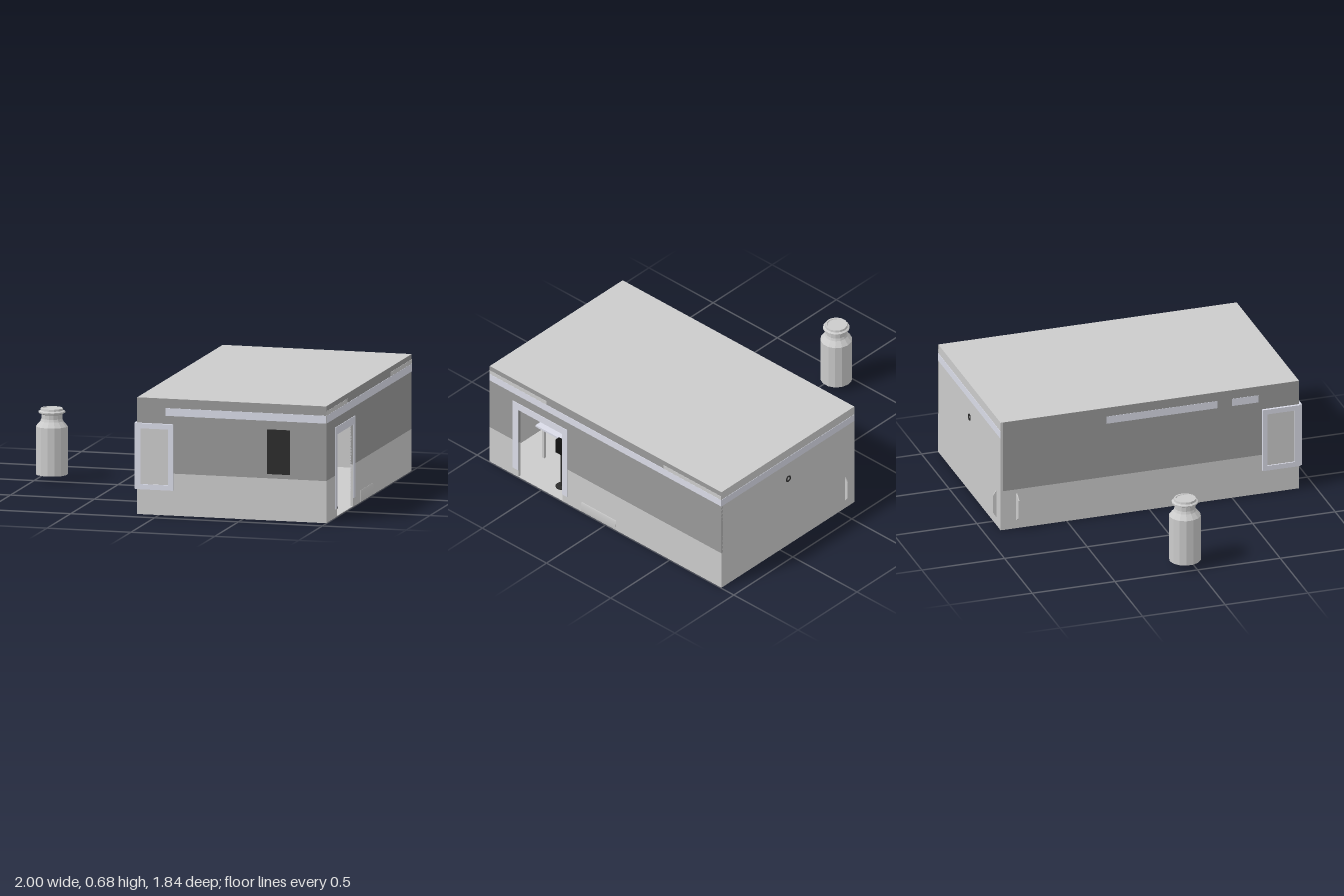
import * as THREE from 'three';

const mat = (color, extra = {}) => new THREE.MeshStandardMaterial({ color, ...extra });
const GREY = mat(0xcccccc);
const DARK = mat(0x999999);
const TRIM = mat(0xdadce8);
const BLACK = mat(0x2c2c2c);
const FACETED = mat(0xcccccc, { flatShading: true });

// Building limits
const X0 = -0.13, X1 = 0.996, Z0 = -0.9, Z1 = 0.905, H = 0.68, SPLIT = 0.245, T = 0.015;

export function createModel() {
  const root = new THREE.Group();

  const add = (name, geometry, material, parent = root) => {
    const mesh = new THREE.Mesh(geometry, material);
    mesh.name = name;
    parent.add(mesh);
    return mesh;
  };
  // Box given by its minimum and maximum corners
  const box = (name, [ax, ay, az], [bx, by, bz], material = GREY, parent = root) => {
    const mesh = add(name, new THREE.BoxGeometry(bx - ax, by - ay, bz - az), material, parent);
    mesh.position.set((ax + bx) / 2, (ay + by) / 2, (az + bz) / 2);
    return mesh;
  };

  // Hollow shell: floor, roof and two-tone walls
  box('floor', [X0, 0, Z0], [X1, 0.004, Z1]);
  box('roof', [X0, H - T, Z0], [X1, H, Z1]);
  box('backWall', [X0, 0, Z0], [X1, H - T, Z0 + T]);
  for (const [tone, y0, y1, material] of [['lower', 0, SPLIT, GREY], ['upper', SPLIT, H - 0.0005, DARK]]) {
    box(tone + 'FrontWall', [X0, y0, Z1 - T], [X1, y1, Z1 + 0.0005], material);
    box(tone + 'LeftSideWall', [X0 - 0.0005, y0, Z0 + T], [X0 + T, y1, Z1 - T], material);
    // The doorway divides this wall
    box(tone + 'DoorWallRear', [X1 - T, y0, Z0], [X1 + 0.0005, y1, 0.34], material);
    box(tone + 'DoorWallFront', [X1 - T, y0, 0.68], [X1 + 0.0005, y1, Z1], material);
  }
  box('doorLintel', [X1 - T, 0.48, 0.34], [X1 + 0.0005, H - 0.0005, 0.68], DARK);

  // Door frame
  const frame = new THREE.Group();
  frame.name = 'doorFrame';
  root.add(frame);
  for (const [z0, z1] of [[0.3, 0.34], [0.68, 0.725]])
    box('doorPost', [X1 - T, 0.05, z0], [1, 0.48, z1], TRIM, frame);
  box('doorHeader', [X1 - T, 0.48, 0.3], [1, 0.525, 0.725], TRIM, frame);

  // Trim bands around the top
  box('frontBand', [0.04, 0.58, Z1], [X1, 0.625, Z1 + 0.003], TRIM);
  box('doorSideBand', [X1, 0.58, Z0], [X1 + 0.003, 0.625, Z1], TRIM);
  box('backBand', [X0, 0.58, Z0 - 0.002], [X1, 0.625, Z0], TRIM);
  for (const [z0, z1] of [[0.46, Z1], [Z0, -0.45]])
    box('upperBand', [X1, 0.625, z0], [X1 + 0.002, 0.65, z1], GREY);
  for (const [z0, z1] of [[-0.26, 0.41], [0.5, 0.66]])
    box('leftBand', [X0 - 0.002, 0.58, z0], [X0, 0.625, z1], TRIM);

  // Front window
  box('frontWindow', [0.645, 0.27, Z1], [0.78, 0.53, Z1 + 0.003], BLACK);

  // Framed panels that meet at the front corner
  const panel = (name, w, h) => {
    const g = new THREE.Group();
    g.name = name;
    const b = 0.03;
    const shape = new THREE.Shape([[-w, -h], [w, -h], [w, h], [-w, h]]
      .map(([x, y]) => new THREE.Vector2(x / 2, y / 2)));
    shape.holes.push(new THREE.Path([[-1, -1], [-1, 1], [1, 1], [1, -1]]
      .map(([x, y]) => new THREE.Vector2(x * (w / 2 - b), y * (h / 2 - b)))));
    add('panelFrame', new THREE.ExtrudeGeometry(shape, { depth: 0.016, bevelEnabled: false }), TRIM, g);
    box('panelBoard', [-w / 2 + b, -h / 2 + b, 0], [w / 2 - b, h / 2 - b, 0.008], GREY, g);
    root.add(g);
    return g;
  };
  panel('frontPanel', 0.225, 0.385).position.set(-0.025, 0.34, Z1);
  const side = panel('leftPanel', 0.225, 0.385);
  side.rotation.y = -Math.PI / 2;
  side.position.set(X0, 0.34, 0.793);

  // Thin tapered fins near the back corner
  const fin = (name, depth) => {
    const shape = new THREE.Shape([[0, 0.05], [depth, 0.08], [depth, 0.19], [0, 0.22]]
      .map(([x, y]) => new THREE.Vector2(x, y)));
    return add(name, new THREE.ExtrudeGeometry(shape, { depth: 0.006, bevelEnabled: false }), GREY);
  };
  const leftFin = fin('leftFin', 0.045);
  leftFin.rotation.y = Math.PI;
  leftFin.position.set(X0, 0, -0.8);
  const backFin = fin('backFin', 0.02);
  backFin.rotation.y = Math.PI / 2;
  backFin.position.set(-0.055, 0, Z0);

  // Small round fitting on the back wall
  const ring = add('backFitting', new THREE.TorusGeometry(0.016, 0.005, 6, 14), BLACK);
  ring.position.set(0.43, 0.47, Z0);

  // Shallow rounded kerb beside the door
  const kerb = add('kerb', new THREE.CylinderGeometry(0.035, 0.035, 0.27, 20), GREY);
  kerb.rotation.x = Math.PI / 2;
  kerb.scale.x = 0.12;
  kerb.position.set(X1, 0.035, 0.055);

  // Rows of counters inside the doorway
  for (const x of [0.1, 0.32, 0.54, 0.76]) {
    box('counterTop', [x - 0.05, 0.238, 0.2], [x + 0.05, 0.25, 0.72], TRIM);
    for (const z of [0.22, 0.7])
      box('counterLeg', [x - 0.008, 0, z - 0.008], [x + 0.008, 0.238, z + 0.008]);
  }

  // Terminal on a post
  const post = add('terminalPost', new THREE.CylinderGeometry(0.006, 0.006, 0.24, 10), BLACK);
  post.position.set(0.9, 0.12, 0.435);
  const foot = add('terminalFoot', new THREE.CylinderGeometry(0.034, 0.034, 0.01, 16), BLACK);
  foot.position.set(0.9, 0.006, 0.435);
  box('terminal', [0.885, 0.24, 0.402], [0.915, 0.33, 0.468], mat(0x101010));

  // Free-standing can with shoulder, neck and lid
  const profile = [[0, 0.035], [0.092, 0.035], [0.092, 0.315], [0.066, 0.345], [0.06, 0.36],
    [0.06, 0.385], [0.077, 0.394], [0.077, 0.402], [0.066, 0.408], [0.064, 0.42], [0.054, 0.42],
    [0.052, 0.416], [0, 0.416]].map(([r, y]) => new THREE.Vector2(r, y));
  const can = add('can', new THREE.LatheGeometry(profile, 14), FACETED);
  can.position.set(-0.907, 0, -0.045);

  return root;
}
